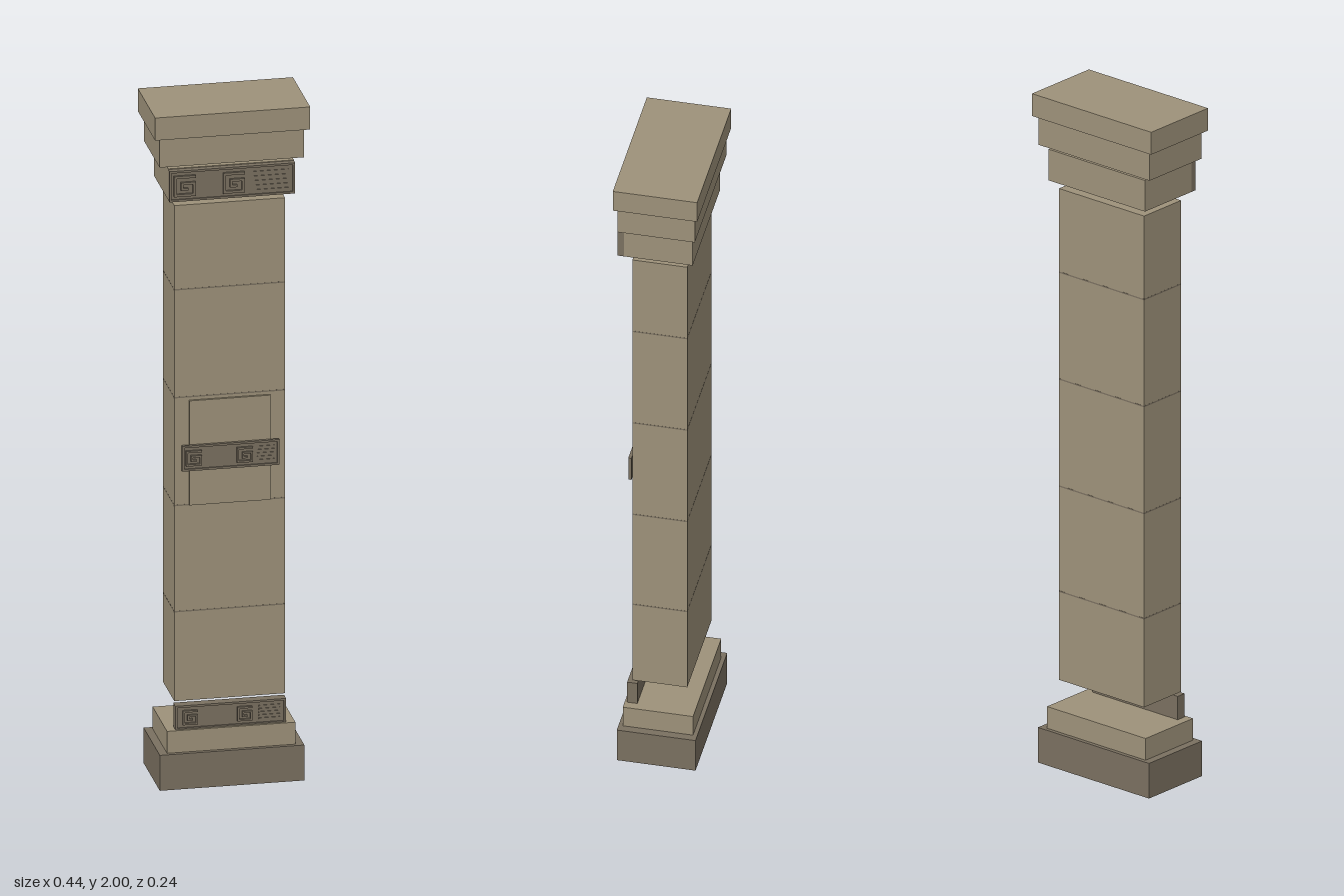
import * as THREE from 'three';

export function createModel() {
  const stone = new THREE.MeshStandardMaterial({ name: 'pale stone', color: 0x9e927a });
  const dark = new THREE.MeshStandardMaterial({ name: 'dark stone', color: 0x7a7060 });
  const model = new THREE.Group();
  model.name = 'pilaster';

  // Box given by its lower and upper limits on each axis
  function block(name, material, x0, x1, y0, y1, z0, z1, parent = model) {
    const mesh = new THREE.Mesh(new THREE.BoxGeometry(x1 - x0, y1 - y0, z1 - z0), material);
    mesh.position.set((x0 + x1) / 2, (y0 + y1) / 2, (z0 + z1) / 2);
    mesh.name = name;
    parent.add(mesh);
    return mesh;
  }
  const slab = (name, material, w, d, y0, y1) =>
    block(name, material, -w, w, y0, y1, -d, d);

  // Base
  slab('plinth', dark, 0.205, 0.112, 0, 0.105);
  slab('baseStep', stone, 0.182, 0.1, 0.105, 0.17);

  // Shaft of stacked stones with hairline joints
  const joints = [0.25, 0.515, 0.83, 1.15, 1.47, 1.72];
  for (let i = 0; i < joints.length - 1; i++) {
    slab('shaftStone', stone, 0.157, 0.078, joints[i], joints[i + 1]);
    if (i > 0) slab('shaftJoint', dark, 0.1573, 0.0783, joints[i] - 0.002, joints[i] + 0.002);
  }
  block('shaftPanel', stone, -0.115, 0.115, 0.83, 1.14, 0.078, 0.085);

  // Capital
  slab('neck', stone, 0.178, 0.098, 1.745, 1.838);
  slab('capitalStep', stone, 0.205, 0.11, 1.848, 1.933);
  slab('capitalTop', stone, 0.22, 0.12, 1.933, 2);

  // Strips of one square key: x0, x1, y0, y1 in a unit square
  const keyStrips = [
    [0, 1, 0.88, 1], [0, 0.12, 0, 0.88], [0.12, 1, 0, 0.12], [0.88, 1, 0.12, 0.68],
    [0.32, 0.88, 0.56, 0.68], [0.32, 0.44, 0.28, 0.56], [0.44, 0.66, 0.28, 0.4]
  ];

  // Carved band: backing, raised rim, two keys and a field of fine ribs
  function band(name, half, y0, y1, zBack, zFront, keys, ribs) {
    const group = new THREE.Group();
    group.name = name;
    model.add(group);
    const z = zFront - 0.007, rim = 0.006;
    const part = (n, m, a, b, c, d, top) => block(n, m, a, b, c, d, z, top, group);
    block('bandBacking', dark, -half, half, y0, y1, zBack, z, group);
    for (const [a, b] of [[y0, y0 + rim], [y1 - rim, y1]])
      part('bandRim', dark, -half, half, a, b, z + 0.004);
    for (const s of [-1, 1])
      part('bandEnd', dark, Math.min(s * half, s * (half - rim)),
        Math.max(s * half, s * (half - rim)), y0 + rim, y1 - rim, z + 0.004);
    const size = y1 - y0 - 0.03, base = y0 + 0.015;
    for (const x of keys)
      for (const [a, b, c, d] of keyStrips)
        part('keyStrip', dark, x + (a - 0.5) * size, x + (b - 0.5) * size,
          base + c * size, base + d * size, zFront);
    for (let i = 0; i < 5; i++)
      part('bandRib', dark, ribs[0], ribs[1], base + i * size / 4.5,
        base + i * size / 4.5 + 0.004, z + 0.002);
  }
  band('neckBand', 0.178, 1.745, 1.836, 0.098, 0.119, [-0.135, 0.004], [0.06, 0.16]);
  band('middleBand', 0.138, 0.935, 1.01, 0.085, 0.097, [-0.105, 0.04], [0.075, 0.125]);
  band('baseBand', 0.157, 0.168, 0.24, 0.064, 0.096, [-0.115, 0.04], [0.08, 0.14]);

  return model;
}
